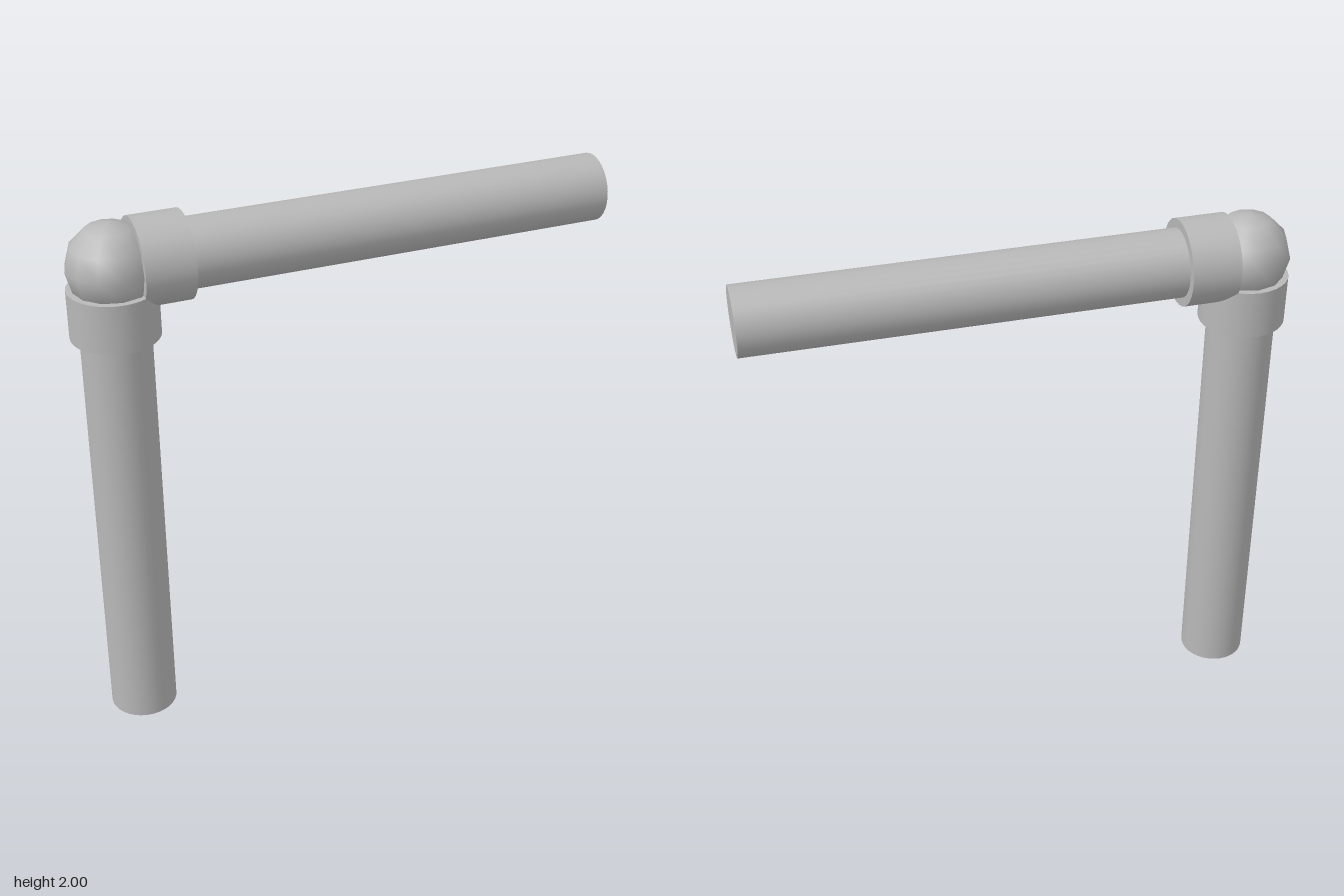
import * as THREE from 'three';

// Two straight pipes joined at a right angle by a socketed elbow.
export function createModel() {
  const model = new THREE.Group();
  model.name = 'pipeElbow';

  const grey = new THREE.MeshStandardMaterial({ color: 0xb8b8b8 });
  grey.name = 'pipe grey';

  const R = 0.158;        // collar and elbow radius
  const PIPE_R = 0.125;
  const COLLAR = [0.077, 0.257]; // span measured from the elbow centre
  const REACH = 2 - R;    // elbow centre to the pipe's far end

  const elbow = new THREE.Group();
  elbow.name = 'elbowAssembly';
  elbow.position.set(-1 + R, 2 - R, 0);
  model.add(elbow);

  // Coarse rounded corner
  const ball = new THREE.Mesh(new THREE.SphereGeometry(R, 12, 6), grey);
  ball.name = 'elbowBall';
  elbow.add(ball);

  // Capped cylinder hanging down from the elbow centre
  function tube(name, radius, from, to) {
    const geometry = new THREE.CylinderGeometry(radius, radius, to - from, 32);
    geometry.translate(0, -(from + to) / 2, 0);
    const mesh = new THREE.Mesh(geometry, grey);
    mesh.name = name;
    return mesh;
  }

  // Each arm is a collar with a pipe running out of it
  for (const [name, angle] of [['vertical', 0], ['horizontal', Math.PI / 2]]) {
    const arm = new THREE.Group();
    arm.name = name + 'Arm';
    arm.rotation.z = angle;
    arm.add(
      tube(name + 'Collar', R, ...COLLAR),
      tube(name + 'Pipe', PIPE_R, COLLAR[0] + 0.05, REACH),
    );
    elbow.add(arm);
  }
  return model;
}
